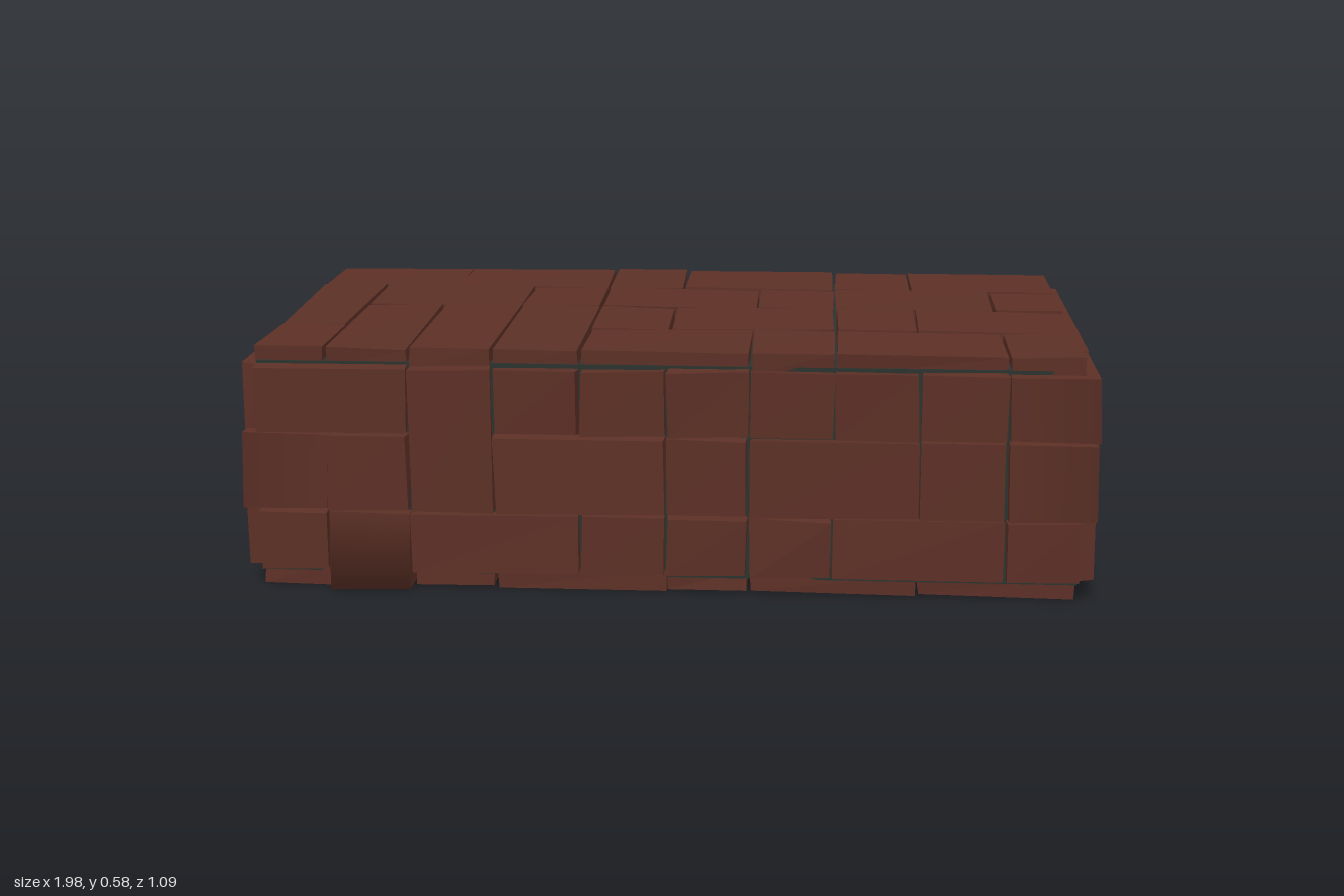
import * as THREE from 'three';

const brickMat = new THREE.MeshStandardMaterial({ color: 0x5c3026 });
const coreMat = new THREE.MeshStandardMaterial({ color: 0x2b332f });

// Outer faces of the brick skin, by axis: [low, high]
const OUT = [[-0.988, 0.988], [0.009, 0.586], [-0.545, 0.545]];
const GAP = 0.005;

let seed = 7;
function wobble(size) {
  seed = (seed * 16807) % 2147483647;
  return (seed / 2147483647 - 0.5) * 2 * size;
}

// One slightly uneven brick. ranges = [[x0,x1],[y0,y1],[z0,z1]].
// wrap = [[axis, sign], [axis, sign]]: the two outer faces share soft normals along their edge.
function brick(name, ranges, wrap) {
  const size = ranges.map(([a, b]) => b - a);
  const geo = new THREE.BoxGeometry(...size).toNonIndexed();
  geo.deleteAttribute('uv');
  const pos = geo.attributes.position;
  const offsets = Array.from({ length: 8 }, () => [wobble(0.004), wobble(0.004), wobble(0.004)]);
  const signs = [];
  for (let i = 0; i < pos.count; i++) {
    const s = [0, 1, 2].map(a => Math.sign(pos.getComponent(i, a)));
    signs.push(s);
    const o = offsets[(s[0] > 0 ? 1 : 0) + (s[1] > 0 ? 2 : 0) + (s[2] > 0 ? 4 : 0)];
    for (let a = 0; a < 3; a++) {
      pos.setComponent(i, a, ranges[a][s[a] > 0 ? 1 : 0] - s[a] * GAP * 0.7 + o[a]);
    }
  }
  geo.computeVertexNormals();
  if (wrap) {
    const nor = geo.attributes.normal;
    for (let i = 0; i < pos.count; i++) {
      const onEdge = wrap.every(([a, s]) => signs[i][a] === s);
      const onFace = wrap.some(([a, s]) => nor.getComponent(i, a) * s > 0.7);
      if (!onEdge || !onFace) continue;
      const n = [0, 0, 0];
      wrap.forEach(([a, s]) => { n[a] = s * Math.SQRT1_2; });
      nor.setXYZ(i, ...n);
    }
  }
  const mesh = new THREE.Mesh(geo, brickMat);
  mesh.name = name;
  return mesh;
}

// Thin outer layer for a face: from just inside the core out to the skin
function layer(axis, sign) {
  return sign > 0 ? [OUT[axis][1] - 0.055, OUT[axis][1]] : [OUT[axis][0], OUT[axis][0] + 0.055];
}

// Lays bricks on one face; each cell is [u0, u1, v0, v1]
function panel(name, axis, sign, uAxis, vAxis, cells) {
  const group = new THREE.Group();
  group.name = name;
  for (const [u0, u1, v0, v1] of cells) {
    const r = [];
    r[axis] = layer(axis, sign);
    r[uAxis] = [u0, u1];
    r[vAxis] = [v0, v1];
    group.add(brick('brick', r));
  }
  return group;
}

// A course of bricks between consecutive joints; null breaks the run
function course(v0, v1, joints) {
  const cells = [];
  for (let i = 1; i < joints.length; i++) {
    if (joints[i - 1] === null || joints[i] === null) continue;
    cells.push([joints[i - 1], joints[i], v0, v1]);
  }
  return cells;
}

export function createModel() {
  seed = 7;
  const model = new THREE.Group();
  model.name = 'brickBlock';

  // Mortar core seen in the joints
  const core = new THREE.Mesh(new THREE.BoxGeometry(1.9, 0.507, 1.01), coreMat);
  core.position.y = 0.298;
  core.name = 'mortarCore';
  model.add(core);

  const Y = [0.055, 0.202, 0.388, 0.547];

  // Front wall
  model.add(panel('frontWall', 2, 1, 0, 1, [
    ...course(Y[0], Y[1], [-0.955, -0.79, null, -0.595, -0.2, 0, 0.19, 0.385, 0.78, 0.955]),
    ...course(Y[1], Y[2], [-0.79, -0.595, null, -0.4, 0, 0.19, 0.58, 0.775]),
    ...course(Y[2], Y[3], [-0.955, -0.595, null, -0.4, -0.2, 0, 0.19, 0.385, 0.58, 0.78]),
    [-0.595, -0.4, Y[1], Y[3]],
  ]));

  // Back wall
  model.add(panel('backWall', 2, -1, 0, 1, [
    ...course(Y[0], Y[1], [-0.955, -0.595, -0.41, null, -0.2, 0, null, 0.19, 0.4]),
    ...course(Y[1], Y[2], [-0.775, -0.595, null, -0.4, -0.2, 0, 0.19, 0.4, 0.6]),
    ...course(Y[2], Y[3], [-0.78, -0.595, null, -0.4, 0, 0.19, 0.4, 0.6, 0.955]),
    [0.6, 0.79, Y[0], Y[2]],
    [-0.595, -0.4, Y[1], Y[3]],
  ]));

  // End walls, the same pattern turned half round
  for (const s of [1, -1]) {
    const turn = list => list.map(z => z * s).sort((a, b) => a - b);
    model.add(panel(s > 0 ? 'leftEndWall' : 'rightEndWall', 0, s, 2, 1, [
      ...course(Y[0], Y[1], turn([-0.51, -0.25, 0.003, 0.515])),
      ...course(Y[1], Y[2], turn([-0.265, 0, 0.255])),
      ...course(Y[2], Y[3], turn([-0.51, -0.005, 0.255])),
    ]));
  }

  // Bricks that wrap the upright corners: [x side, z side, course]
  for (const [sx, sz, row] of [[1, 1, 1], [1, 1, 2], [1, -1, 1], [-1, -1, 1], [-1, -1, 2], [-1, 1, 1]]) {
    const x = sx > 0 ? [0.78, OUT[0][1]] : [OUT[0][0], -0.78];
    const z = sz > 0 ? [0.26, OUT[2][1]] : [OUT[2][0], -0.27];
    model.add(brick('cornerBrick', [x, [Y[row], Y[row + 1]], z], [[0, sx], [2, sz]]));
  }

  // Bricks that wrap under the long bottom edges: [x0, x1, z side]
  for (const [x0, x1, sz] of [[-0.79, -0.595, 1], [0.79, 0.955, -1], [0.4, 0.6, -1], [0, 0.19, -1], [-0.41, -0.2, -1]]) {
    const z = sz > 0 ? [0.25, OUT[2][1]] : [OUT[2][0], -0.26];
    model.add(brick('bottomEdgeBrick', [[x0, x1], [OUT[1][0], Y[1]], z], [[1, -1], [2, sz]]));
  }

  // Top paving
  const Z = [-0.517, -0.262, -0.01, 0.247, 0.507];
  model.add(panel('topPaving', 1, 1, 0, 2, [
    ...course(Z[0], Z[1], [-0.955, -0.6, -0.205, -0.01, 0.385, 0.58, 0.95]),
    ...course(Z[1], Z[2], [-0.79, -0.4, -0.2, 0.19, 0.385, 0.78, 0.95]),
    ...course(Z[2], Z[3], [-0.2, -0.01, 0.385, 0.58, 0.95]),
    ...course(Z[3], Z[4], [-0.955, -0.79, null, -0.2, 0.19, 0.385, 0.78, 0.95]),
    [-0.955, -0.79, Z[1], Z[3]],
    [-0.79, -0.595, Z[2], Z[4]],
    [-0.595, -0.4, Z[2], Z[4]],
    [-0.4, -0.2, Z[2], Z[4]],
  ]));

  // Underside paving, leaving room for the wrapped edge bricks
  model.add(panel('undersidePaving', 1, -1, 0, 2, [
    ...course(Z[0], Z[1], [-0.955, -0.595, -0.41, null, -0.2, 0, null, 0.19, 0.4, null, 0.6, 0.79]),
    ...course(Z[1], Z[2], [-0.955, -0.6, -0.2, 0, 0.39, 0.58, 0.95]),
    ...course(Z[2], Z[3], [-0.955, -0.79, -0.4, -0.2, 0.19, 0.39, 0.78, 0.95]),
    ...course(Z[3], Z[4], [-0.955, -0.79, null, -0.595, -0.4, 0, 0.19, 0.58, 0.95]),
  ]));

  return model;
}
